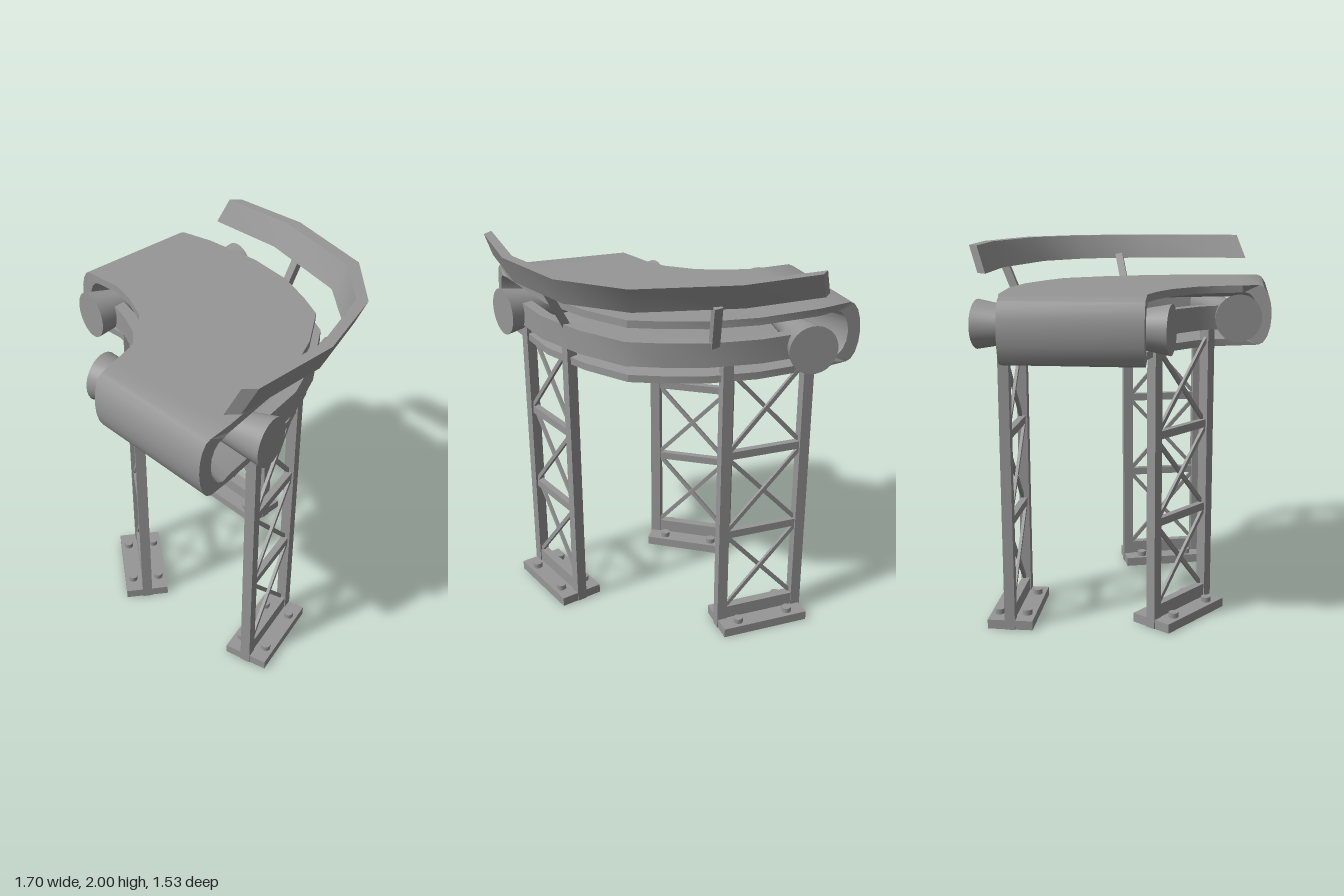
import * as THREE from 'three';
import { toCreasedNormals } from 'three/addons/utils/BufferGeometryUtils.js';

const mat = new THREE.MeshStandardMaterial({ color: 0x969696 });
const matDouble = new THREE.MeshStandardMaterial({ color: 0x969696, side: THREE.DoubleSide });
const UP = new THREE.Vector3(0, 1, 0);
const MID = 1.61; // height of the belt's middle

// Plan outlines [x, z] of the belt's outer and inner edges, matched station by station
const OUTER = [[-0.78, -0.545], [-0.595, -0.585], [-0.26, -0.605], [0, -0.57], [0.2, -0.495],
  [0.355, -0.42], [0.51, -0.2], [0.635, 0.07], [0.725, 0.56], [0.74, 0.69]];
const INNER = [[-0.78, 0.152], [-0.555, 0.14], [-0.415, 0.175], [-0.32, 0.215], [-0.255, 0.245],
  [-0.18, 0.31], [-0.12, 0.36], [-0.055, 0.475], [-0.015, 0.6], [0.015, 0.69]];
const CENTRE = OUTER.map(([x, z], i) => [(x + INNER[i][0]) / 2, (z + INNER[i][1]) / 2]);

function add(group, name, geometry, material = mat) {
  const mesh = new THREE.Mesh(geometry, material);
  mesh.name = name;
  group.add(mesh);
  return mesh;
}

// Joins neighbouring rings of points with quads
function skin(rings, closedRows, caps) {
  const pos = [];
  const quad = (a, b, c, d) => [a, b, c, a, c, d].forEach((p) => pos.push(p.x, p.y, p.z));
  const rows = closedRows ? rings.length : rings.length - 1;
  for (let i = 0; i < rows; i++) {
    const r = rings[i], s = rings[(i + 1) % rings.length];
    for (let j = 0; j < r.length; j++) {
      const k = (j + 1) % r.length;
      quad(r[j], s[j], s[k], r[k]);
    }
  }
  if (caps) {
    quad(...rings[0]);
    quad(...[...rings[rings.length - 1]].reverse());
  }
  const g = new THREE.BufferGeometry();
  g.setAttribute('position', new THREE.Float32BufferAttribute(pos, 3));
  return toCreasedNormals(g, 0.5);
}

// Bar running between two plan lines; corners are [blend from outer to inner, y]
function band(outer, inner, corners) {
  return skin(outer.map((o, i) => corners.map(([f, y]) => new THREE.Vector3(
    o[0] + (inner[i][0] - o[0]) * f, y, o[1] + (inner[i][1] - o[1]) * f))), false, true);
}

// Plan line moved sideways by d
function offset(line, d) {
  return line.map((p, i) => {
    const a = line[Math.max(i - 1, 0)], b = line[Math.min(i + 1, line.length - 1)];
    const l = Math.hypot(b[0] - a[0], b[1] - a[1]);
    return [p[0] + (b[1] - a[1]) / l * d, p[1] - (b[0] - a[0]) / l * d];
  });
}

// Closed belt loop along one line: over the top, round the end, back below, round the start
function beltLoop(line, h, inset, bulge) {
  const n = line.length - 1, pts = [], ends = [[-0.07, 0], [0, 0.07]];
  const put = (i, y, e) => {
    const x = i === 0 ? ends[0] : i === n ? ends[1] : [0, 0];
    pts.push(new THREE.Vector3(line[i][0] + x[0] * e, MID + y, line[i][1] + x[1] * e));
  };
  const arc = (i, dir) => {
    for (let k = 1; k < 8; k++) {
      const a = k / 8 * Math.PI;
      put(i, dir * h * Math.cos(a), -inset + bulge * Math.sin(a));
    }
  };
  for (let i = 0; i <= n; i++) put(i, h, -inset);
  arc(n, 1);
  for (let i = n; i >= 0; i--) put(i, -h, -inset);
  arc(0, -1);
  return pts;
}

// Box bar between two points
function bar(group, name, a, b, w, d) {
  const dir = b.clone().sub(a);
  const m = add(group, name, new THREE.BoxGeometry(w, dir.length(), d));
  m.position.copy(a).add(b).multiplyScalar(0.5);
  m.quaternion.setFromUnitVectors(UP, dir.normalize());
}

// Lattice leg standing between two plan points
function makeLeg(name, [ax, az], [bx, bz]) {
  const g = new THREE.Group();
  g.name = name;
  const half = Math.hypot(bx - ax, bz - az) / 2;
  const V = (x, y, z) => new THREE.Vector3(x, y, z);
  add(g, 'footPlate', new THREE.BoxGeometry(2 * half + 0.045, 0.05, 0.24)).position.y = 0.025;
  add(g, 'bottomBeam', new THREE.BoxGeometry(2 * half, 0.075, 0.045)).position.y = 0.085;
  for (const s of [-1, 1]) {
    add(g, 'column', new THREE.BoxGeometry(0.055, 1.55, 0.055)).position.set(s * half, 0.775, 0);
    for (const t of [-1, 1]) {
      add(g, 'bolt', new THREE.CylinderGeometry(0.026, 0.026, 0.03, 10)).position.set(s * (half - 0.075), 0.063, t * 0.075);
    }
  }
  for (const y of [0.575, 1.04]) {
    add(g, 'crossbar', new THREE.BoxGeometry(2 * half, 0.042, 0.035)).position.y = y;
  }
  // Crossed braces in each panel
  const x = half - 0.02;
  for (const [y0, y1] of [[0.12, 0.56], [0.595, 1.02], [1.06, 1.5]]) {
    bar(g, 'brace', V(-x, y0, 0.008), V(x, y1, 0.008), 0.022, 0.016);
    bar(g, 'brace', V(x, y0, -0.008), V(-x, y1, -0.008), 0.022, 0.016);
  }
  g.position.set((ax + bx) / 2, 0, (az + bz) / 2);
  g.rotation.y = -Math.atan2(bz - az, bx - ax);
  return g;
}

// Roller with flared ends between two plan points
function makeRoller([ax, az], [bx, bz]) {
  const a = new THREE.Vector3(ax, MID, az), b = new THREE.Vector3(bx, MID, bz);
  const dir = b.clone().sub(a), h = dir.length() / 2;
  const profile = [[0, -h], [0.125, -h], [0.07, -h + 0.3], [0.07, h - 0.3], [0.125, h], [0, h]];
  const lathe = new THREE.LatheGeometry(profile.map((p) => new THREE.Vector2(...p)), 28);
  const m = new THREE.Mesh(toCreasedNormals(lathe, 0.5), mat);
  m.name = 'endRoller';
  m.position.copy(a).add(b).multiplyScalar(0.5);
  m.quaternion.setFromUnitVectors(UP, dir.normalize());
  return m;
}

export function createModel() {
  const model = new THREE.Group();
  model.name = 'curvedConveyor';

  // Belt loop, its hollow narrowing from both edges towards the centre line
  add(model, 'belt', skin([
    beltLoop(OUTER, 0.16, 0, 1), beltLoop(INNER, 0.16, 0, 1),
    beltLoop(INNER, 0.122, 1.1, 1.1), beltLoop(CENTRE, 0.065, 1.5, 0.3),
    beltLoop(OUTER, 0.122, 1.1, 1.1),
  ], true, false), matDouble);

  // Side beams along both edges
  const section = [[0, 1.67], [1, 1.67], [1, 1.545], [0, 1.545]];
  const outerLine = [[-0.54, -0.59], ...OUTER.slice(2, 8), [0.685, 0.34]];
  const innerLine = INNER.slice(1, 9);
  add(model, 'outerBeam', band(offset(outerLine, 0.03), offset(outerLine, -0.03), section), matDouble);
  add(model, 'innerBeam', band(offset(innerLine, 0.03), offset(innerLine, -0.035), section), matDouble);

  // End rollers
  model.add(makeRoller([-0.64, 0.265], [-0.5, -0.715]), makeRoller([-0.145, 0.585], [0.8, 0.365]));

  // Leaning guard rail and its posts
  add(model, 'guardRail', band(
    [[-0.51, -0.745], [-0.09, -0.77], [0.42, -0.65], [0.7, -0.385], [0.845, 0.04], [0.845, 0.51]],
    [[-0.605, -0.645], [-0.17, -0.655], [0.355, -0.53], [0.595, -0.33], [0.74, 0.07], [0.745, 0.62]],
    [[0, 2], [0.5, 2], [1, 1.867], [0.5, 1.867]]), matDouble);
  for (const [x0, z0, x1, z1] of [[-0.03, -0.585, 0, -0.685], [0.565, -0.075, 0.685, -0.135]]) {
    bar(model, 'railPost', new THREE.Vector3(x0, 1.65, z0), new THREE.Vector3(x1, 1.885, z1), 0.042, 0.042);
  }

  // Three lattice legs
  model.add(
    makeLeg('innerLeg', [-0.445, 0.17], [-0.087, 0.42]),
    makeLeg('backLeg', [-0.54, -0.58], [-0.1, -0.58]),
    makeLeg('outerLeg', [0.555, -0.07], [0.67, 0.34]));
  return model;
}
